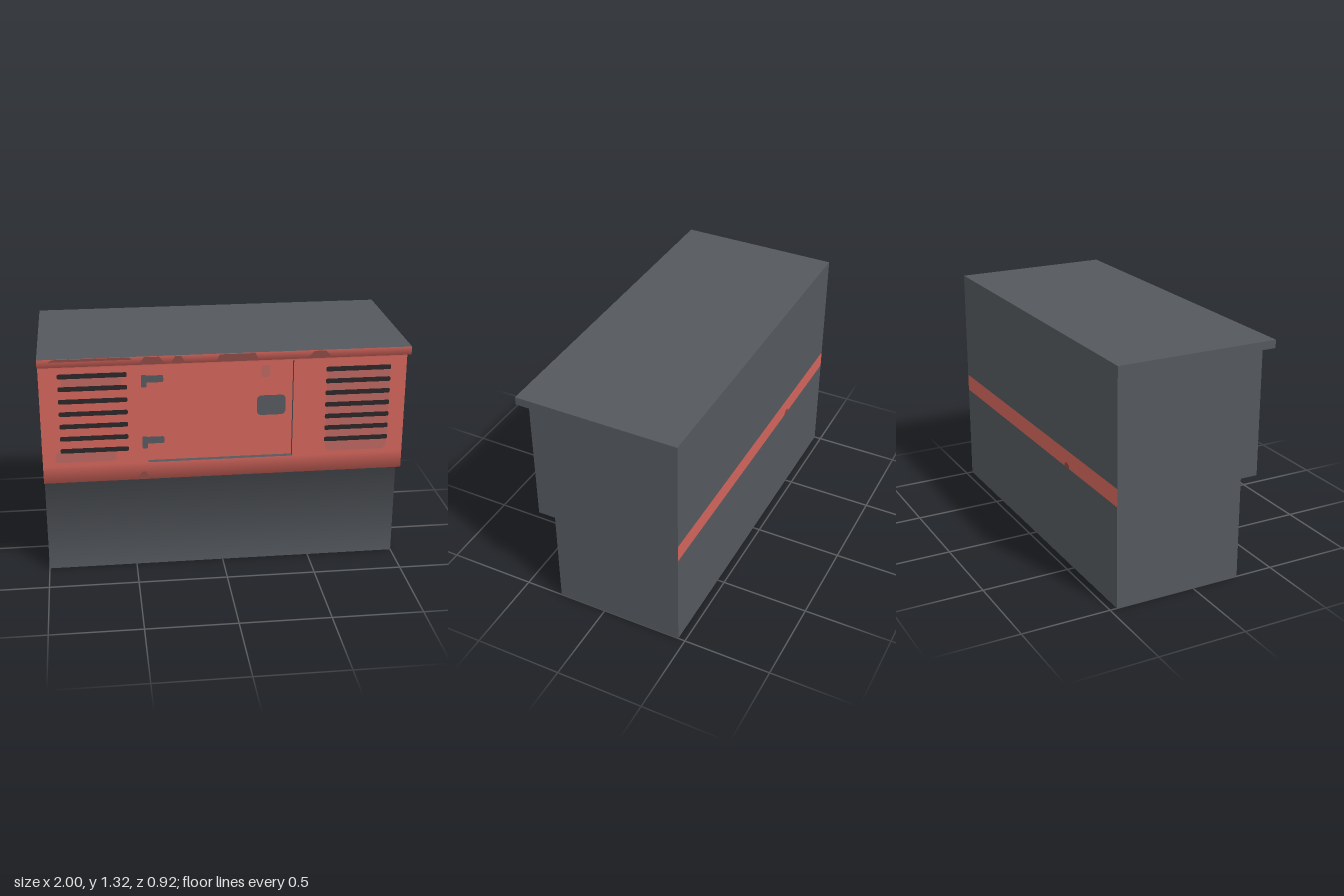
import * as THREE from 'three';

const mat = (name, color, side = THREE.FrontSide) => {
  const m = new THREE.MeshStandardMaterial({ color, side });
  m.name = name;
  return m;
};

export function createModel() {
  const grey = mat('grey metal', 0x54585d, THREE.DoubleSide);
  const red = mat('red paint', 0xd0645b);
  const faded = mat('faded red', 0xba6661);
  const stain = mat('dark red stain', 0x8a4844);
  const black = mat('slot black', 0x2b2527);

  const model = new THREE.Group();
  model.name = 'counterCabinet';
  const add = (name, geometry, material, parent = model) => {
    const mesh = new THREE.Mesh(geometry, material);
    mesh.name = name;
    parent.add(mesh);
    return mesh;
  };

  const W = 1, H = 1.32, BACK = -0.46, LIP = 0.46, FACE = 0.38, BASE = 0.28;
  const STEP = 0.58, LIP_Y = 1.275;
  const door = { x0: -0.425, x1: 0.375, y0: 0.68, y1: 1.24, z: 0.35 };

  // Strip across x; rows run downwards as [y, z, normalY, normalZ]
  const strip = (rows, x0 = -W, x1 = W) => {
    const pos = [], nor = [], idx = [];
    rows.forEach(([y, z, ny, nz], i) => {
      pos.push(x0, y, z, x1, y, z);
      nor.push(0, ny, nz, 0, ny, nz);
      const a = i * 2;
      if (i) idx.push(a - 2, a, a - 1, a - 1, a, a + 1);
    });
    const g = new THREE.BufferGeometry();
    g.setAttribute('position', new THREE.Float32BufferAttribute(pos, 3));
    g.setAttribute('normal', new THREE.Float32BufferAttribute(nor, 3));
    g.setIndex(idx);
    return g;
  };
  const S = Math.SQRT1_2;

  // Side panels
  const profile = new THREE.Shape([
    [BACK, 0], [BASE, 0], [BASE, STEP], [FACE, STEP],
    [FACE, LIP_Y], [LIP, LIP_Y], [LIP, H], [BACK, H],
  ].map(([z, y]) => new THREE.Vector2(z, y)));
  for (const [name, x] of [['rightSide', -W], ['leftSide', W]]) {
    add(name, new THREE.ShapeGeometry(profile).rotateY(-Math.PI / 2).translate(x, 0, 0), grey);
  }

  // Top, underside and back
  add('top', new THREE.PlaneGeometry(2, LIP - BACK).rotateX(-Math.PI / 2).translate(0, H, 0), grey);
  add('underside', new THREE.PlaneGeometry(2, BASE - BACK).rotateX(Math.PI / 2)
    .translate(0, 0, (BASE + BACK) / 2), grey);
  for (const [name, y0, y1, m] of [['backLower', 0, 0.575, grey],
    ['backStripe', 0.575, 0.675, red], ['backUpper', 0.675, H, grey]]) {
    add(name, new THREE.PlaneGeometry(2, y1 - y0).rotateY(Math.PI).translate(0, (y0 + y1) / 2, BACK), m);
  }

  // Front surfaces, softly shaded around the steps
  add('lip', strip([[H, LIP, 0, 1], [LIP_Y, LIP, -S, S], [LIP_Y, FACE, -S, S],
    [door.y1, FACE, 0, 1]]), red);
  add('panelRight', strip([[door.y1, FACE, 0, 1], [door.y0, FACE, 0, 1]], -W, door.x0), red);
  add('panelLeft', strip([[door.y1, FACE, 0, 1], [door.y0, FACE, 0, 1]], door.x1, W), red);
  add('panelBottom', strip([[door.y0, FACE, 0, 1], [STEP, FACE, -S, S], [STEP, BASE, -S, S]]), red);
  add('basePanel', strip([[STEP, BASE, -S, S], [0, BASE, 0, 1]]), grey);

  // Recessed door with its frame
  const dw = door.x1 - door.x0, dh = door.y1 - door.y0, depth = FACE - door.z;
  const cx = (door.x0 + door.x1) / 2, cy = (door.y0 + door.y1) / 2, cz = (FACE + door.z) / 2;
  add('door', new THREE.PlaneGeometry(dw, dh).translate(cx, cy, door.z), red);
  for (const [x, r] of [[door.x0, 1], [door.x1, -1]]) {
    add('doorFrameSide', new THREE.PlaneGeometry(depth, dh).rotateY(r * Math.PI / 2)
      .translate(x, cy, cz), grey);
  }
  for (const [y, r] of [[door.y0, -1], [door.y1, 1]]) {
    add('doorFrameEdge', new THREE.PlaneGeometry(dw, depth).rotateX(r * Math.PI / 2)
      .translate(cx, y, cz), grey);
  }

  // Painted rounded plate
  const plate = (name, x0, x1, y0, y1, r, z, m) => {
    const s = new THREE.Shape();
    s.moveTo(x0 + r, y0);
    s.lineTo(x1 - r, y0).quadraticCurveTo(x1, y0, x1, y0 + r);
    s.lineTo(x1, y1 - r).quadraticCurveTo(x1, y1, x1 - r, y1);
    s.lineTo(x0 + r, y1).quadraticCurveTo(x0, y1, x0, y1 - r);
    s.lineTo(x0, y0 + r).quadraticCurveTo(x0, y0, x0 + r, y0);
    return add(name, new THREE.ShapeGeometry(s, 5).translate(0, 0, z), m);
  };

  // Door handle and hinges
  plate('handle', 0.178, 0.338, 0.92, 1.035, 0.03, door.z + 0.003, grey);
  for (const y of [0.80, 1.155]) {
    plate('hingeLeaf', -0.455, door.x0, y - 0.035, y + 0.035, 0.008, FACE + 0.003, grey);
    plate('hingeArm', door.x0, -0.333, y - 0.02, y + 0.02, 0.01, door.z + 0.003, grey);
  }

  // Vent slots over worn paint
  for (const [x0, x1, top, pitch] of [[-0.9, -0.53, 1.197, 0.0713], [0.553, 0.912, 1.183, 0.0685]]) {
    for (let i = 0; i < 7; i++) {
      const y = top - i * pitch;
      plate('ventSlot', x0, x1, y - 0.0135, y + 0.0135, 0.01, FACE + 0.004, black);
    }
  }
  plate('wornPatch', -0.88, -0.56, 1.12, 1.215, 0.02, FACE + 0.002, faded);
  plate('wornPatch', 0.56, 0.91, 0.7, 1.2, 0.04, FACE + 0.002, faded);
  plate('wornPatch', -0.93, -0.6, 0.7, 0.76, 0.02, FACE + 0.002, faded);
  plate('wornPatch', 0.2, 0.25, 1.14, 1.21, 0.015, door.z + 0.002, faded);

  // Stains along the lip, lower edge and back stripe
  const smear = (x0, x1, y0, y1, z, slant) => {
    const s = new THREE.Shape([[x0, y0], [x1, y0], [x1 - slant, y1], [x0 + slant, y1]]
      .map(([x, y]) => new THREE.Vector2(x, y)));
    return add('stain', new THREE.ShapeGeometry(s).translate(0, 0, z), stain);
  };
  for (const [x0, x1, s] of [[-0.47, -0.33, 0.03], [-0.3, -0.22, 0.025], [-0.06, 0.17, 0.02],
    [0.43, 0.57, 0.04]]) smear(x0, x1, LIP_Y, H - 0.004, LIP - 0.0 + 0.001, s);
  smear(-0.94, -0.5, H - 0.015, H - 0.002, LIP + 0.001, 0.02);
  smear(-0.49, -0.41, STEP + 0.002, STEP + 0.045, FACE + 0.002, 0.03);
  const backStain = new THREE.CircleGeometry(0.03, 12, 0, Math.PI).rotateY(Math.PI)
    .translate(-0.43, 0.575, BACK - 0.002);
  add('backStain', backStain, stain);

  return model;
}
